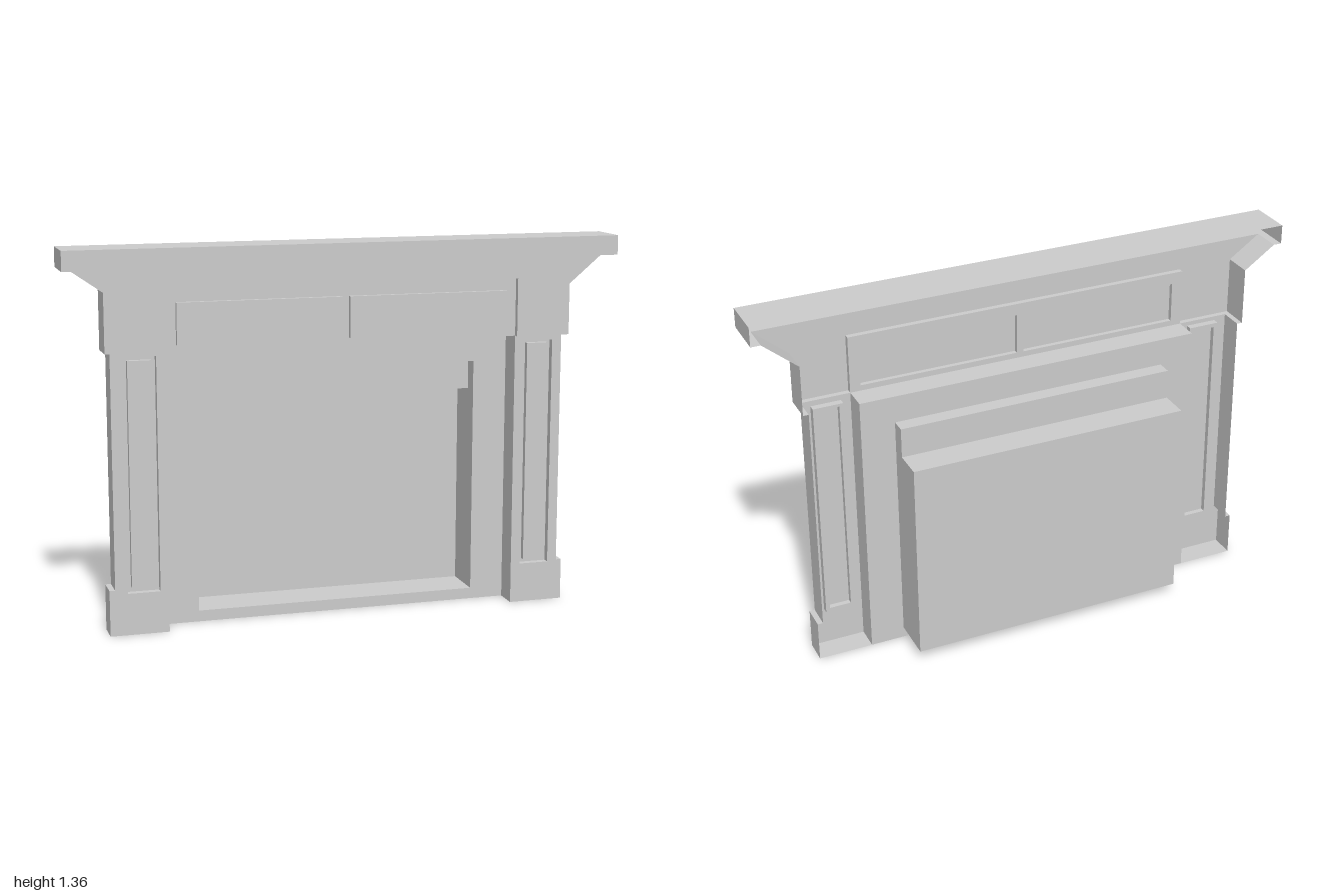
import * as THREE from 'three';

const material = new THREE.MeshStandardMaterial({ color: 0xcccccc, side: THREE.DoubleSide, flatShading: true });

function add(parent, name, geometry) {
  const mesh = new THREE.Mesh(geometry, material);
  mesh.name = name;
  parent.add(mesh);
  return mesh;
}

function section(parent, name) {
  const group = new THREE.Group();
  group.name = name;
  parent.add(group);
  return group;
}

const rect = (x0, x1, y0, y1) => [[x0, y0], [x1, y0], [x1, y1], [x0, y1]];
const toVectors = (points) => points.map(([x, y]) => new THREE.Vector2(x, y));

// Flat sheet facing +z, with optional holes
function sheet(parent, name, outline, z, holes = []) {
  const shape = new THREE.Shape(toVectors(outline));
  holes.forEach((h) => shape.holes.push(new THREE.Path(toVectors(h))));
  add(parent, name, new THREE.ShapeGeometry(shape)).position.z = z;
}

// Walls along an xy path, running from depth z0 to z1
function walls(parent, name, path, z0, z1, closed = false) {
  const pts = closed ? [...path, path[0]] : path;
  const pos = [];
  for (let i = 0; i < pts.length - 1; i++) {
    const [ax, ay] = pts[i];
    const [bx, by] = pts[i + 1];
    pos.push(ax, ay, z0, bx, by, z0, bx, by, z1, ax, ay, z0, bx, by, z1, ax, ay, z1);
  }
  const geometry = new THREE.BufferGeometry();
  geometry.setAttribute('position', new THREE.Float32BufferAttribute(pos, 3));
  geometry.computeVertexNormals();
  add(parent, name, geometry);
}

// Horizontal strip
const strip = (parent, name, x0, x1, y, z0, z1) => walls(parent, name, [[x0, y], [x1, y]], z0, z1);

// Raised field standing in a recess
function raisedField(parent, name, outline, zLow, zHigh) {
  walls(parent, name + 'Edge', outline, zLow, zHigh, true);
  sheet(parent, name, outline, zHigh);
}

// Pilaster with plinth and a sunk moulding round a raised field
function pilaster(parent, name, { inner, shaft, plinth, plinthTop, recess, field }) {
  const group = section(parent, name);
  const outline = [[inner, 1], [inner, 0], [plinth, 0], [plinth, plinthTop], [shaft, plinthTop], [shaft, 1]];
  sheet(group, 'pilasterFace', outline, 0.09, [recess]);
  walls(group, 'pilasterSides', outline, 0, 0.09);
  walls(group, 'panelRecessEdge', recess, 0.065, 0.09, true);
  sheet(group, 'panelRecess', recess, 0.065, [field]);
  raisedField(group, 'panelField', field, 0.065, 0.085);
}

export function createModel() {
  const model = new THREE.Group();
  model.name = 'fireplaceMantel';
  const L = -0.645, R = 0.64;

  // Pilasters
  pilaster(model, 'rightPilaster', {
    inner: L, shaft: -0.835, plinth: -0.855, plinthTop: 0.165,
    recess: rect(-0.79, -0.675, 0.15, 0.985), field: rect(-0.775, -0.69, 0.17, 0.97),
  });
  pilaster(model, 'leftPilaster', {
    inner: R, shaft: 0.82, plinth: 0.84, plinthTop: 0.15,
    recess: rect(0.675, 0.785, 0.145, 0.98), field: rect(0.69, 0.77, 0.16, 0.97),
  });

  // Surround and stepped firebox
  const firebox = section(model, 'firebox');
  const fx0 = -0.52, fx1 = 0.515, low = 0.04, step = 0.79, top = 0.9;
  sheet(firebox, 'surround', rect(L, R, 0, 1), 0, [rect(fx0, fx1, low, top)]);
  strip(firebox, 'surroundTop', L, R, 1, 0, 0.09);
  walls(firebox, 'throatSides', [[fx0, step], [fx0, top], [fx1, top], [fx1, step]], -0.055, 0);
  sheet(firebox, 'throatBack', rect(fx0, fx1, step, top), -0.055);
  walls(firebox, 'fireboxSides', [[fx0, step], [fx0, low], [fx1, low], [fx1, step]], -0.165, 0);
  strip(firebox, 'fireboxCeiling', fx0, fx1, step, -0.165, -0.055);
  sheet(firebox, 'fireboxBack', rect(fx0, fx1, low, step), -0.165);

  // Frieze with flared ends and two raised panels
  const frieze = section(model, 'frieze');
  const rightEnd = [[-0.97, 1.29], [-0.855, 1.21], [-0.855, 1], [-0.835, 1]];
  const leftEnd = [[0.82, 1], [0.84, 1], [0.84, 1.185], [0.965, 1.29]];
  const notch = [[L, 1], [L, 1.21], [R, 1.21], [R, 1]];
  sheet(frieze, 'friezeFace', [...rightEnd, ...notch, ...leftEnd], 0.11);
  walls(frieze, 'rightFlare', rightEnd, 0, 0.11);
  walls(frieze, 'leftFlare', leftEnd, 0, 0.11);
  strip(frieze, 'rightUnderside', -0.835, L, 1, 0.09, 0.11);
  strip(frieze, 'leftUnderside', R, 0.82, 1, 0.09, 0.11);
  walls(frieze, 'friezeRecessEdge', notch, 0.09, 0.11);
  const panels = [rect(-0.605, -0.013, 1.02, 1.167), rect(0.013, 0.602, 1.02, 1.167)];
  sheet(frieze, 'friezeRecess', notch, 0.09, panels);
  panels.forEach((p) => raisedField(frieze, 'friezePanel', p, 0.09, 0.107));

  // Mantel shelf, open at the back
  const shelf = section(model, 'shelf');
  walls(shelf, 'shelfTopAndEnds', [[-1, 1.29], [-1, 1.36], [1, 1.36], [1, 1.29]], 0, 0.165);
  sheet(shelf, 'shelfFront', rect(-1, 1, 1.29, 1.36), 0.165);
  strip(shelf, 'shelfUnderside', -1, 1, 1.29, 0.11, 0.165);
  strip(shelf, 'rightUndersideEnd', -1, -0.97, 1.29, 0, 0.11);
  strip(shelf, 'leftUndersideEnd', 0.965, 1, 1.29, 0, 0.11);

  return model;
}
